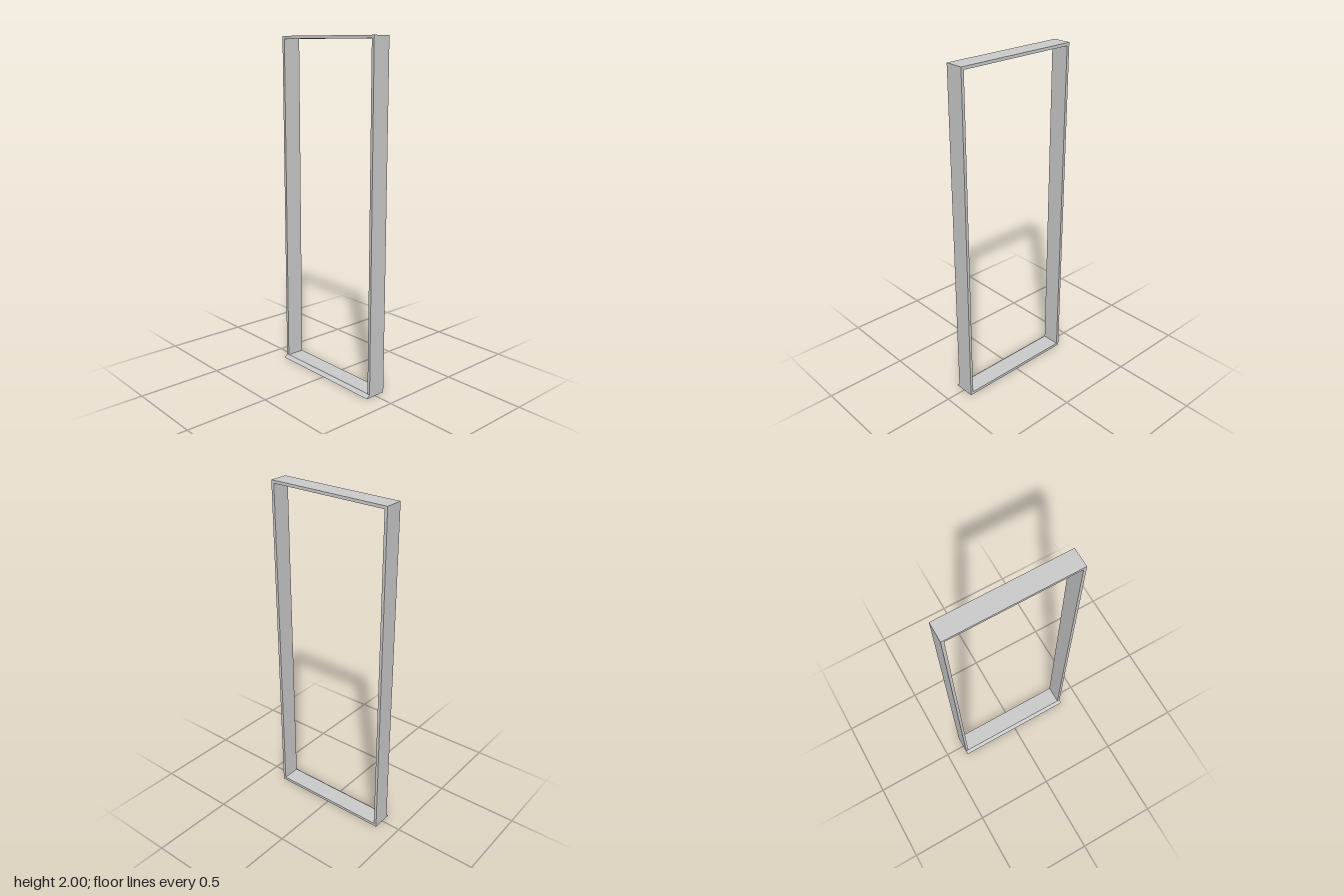
import * as THREE from 'three';

const W = 0.377, H = 2, T = 0.017;      // half width, height, bar thickness
const BACK = -0.065, FRONT = 0.045, LIP = 0.065;

// Closed shape from corner points
function polygon(points, Type = THREE.Shape) {
  return new Type(points.map(([x, y]) => new THREE.Vector2(x, y)));
}

function rectangle(x, y0, y1, Type) {
  return polygon([[-x, y0], [x, y0], [x, y1], [-x, y1]], Type);
}

export function createModel() {
  const group = new THREE.Group();
  group.name = 'doorFrame';
  const material = new THREE.MeshStandardMaterial({ color: 0xcccccc });

  // Rectangular frame: two jambs, head and threshold in one ring
  const ring = rectangle(W, 0, H);
  ring.holes.push(rectangle(W - T, T, H - T, THREE.Path));
  const frameGeo = new THREE.ExtrudeGeometry(ring, { depth: FRONT - BACK, bevelEnabled: false });
  frameGeo.translate(0, 0, BACK);
  const frame = new THREE.Mesh(frameGeo, material);
  frame.name = 'frame';
  group.add(frame);

  // Sloping lip along the front of the threshold
  const wedge = polygon([[-LIP, 0], [-FRONT, 0], [-FRONT, 0.02]]);
  const lipGeo = new THREE.ExtrudeGeometry(wedge, { depth: 2 * W, bevelEnabled: false });
  lipGeo.translate(0, 0, -W);
  lipGeo.rotateY(Math.PI / 2);          // profile x becomes -z, length runs along x
  const lip = new THREE.Mesh(lipGeo, material);
  lip.name = 'thresholdLip';
  group.add(lip);

  return group;
}
